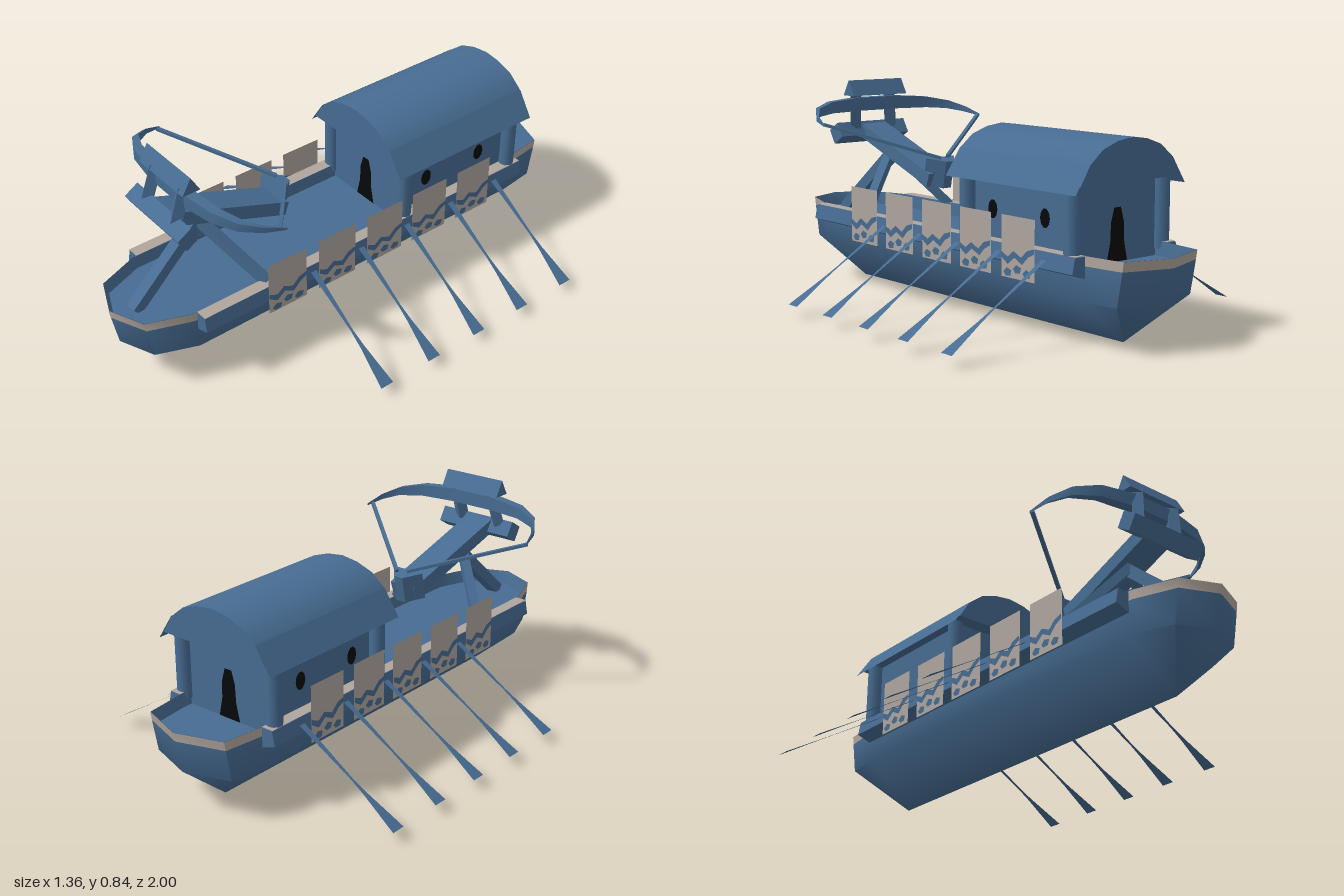
import * as THREE from 'three';
import { toCreasedNormals } from 'three/addons/utils/BufferGeometryUtils.js';

const flat = (name, color, side = THREE.FrontSide) => {
  const m = new THREE.MeshStandardMaterial({ color, side });
  m.name = name;
  return m;
};

// Skin between closed rings of [x, y, z] points
function loft(rings, crease) {
  const pos = [];
  for (let r = 0; r < rings.length - 1; r++) {
    const A = rings[r], B = rings[r + 1], n = A.length;
    for (let i = 0; i < n; i++) {
      const j = (i + 1) % n;
      pos.push(...A[i], ...A[j], ...B[i], ...A[j], ...B[j], ...B[i]);
    }
  }
  const g = new THREE.BufferGeometry();
  g.setAttribute('position', new THREE.Float32BufferAttribute(pos, 3));
  return toCreasedNormals(g, crease);
}

const polygon = (pts) => new THREE.Shape(pts.map(([x, y]) => new THREE.Vector2(x, y)));

// Prism with an x-y profile running from z0 to z1
function prism(pts, z0, z1) {
  return new THREE.ExtrudeGeometry(polygon(pts), { depth: z1 - z0, bevelEnabled: false }).translate(0, 0, z0);
}

export function createModel() {
  const blue = flat('blue wood', 0x476c92, THREE.DoubleSide);
  const trim = flat('pale trim', 0xb0a59d);
  const pale = flat('shield grey', 0xaea59f, THREE.DoubleSide);
  const black = flat('dark opening', 0x07080a);
  const model = new THREE.Group();
  model.name = 'warship';

  const add = (parent, name, geo, mat, x = 0, y = 0, z = 0) => {
    const m = new THREE.Mesh(geo, mat);
    m.name = name;
    m.position.set(x, y, z);
    parent.add(m);
    return m;
  };
  const beam = (parent, name, a, b, w, h) => {
    const p = new THREE.Vector3(...a), q = new THREE.Vector3(...b);
    const m = add(parent, name, new THREE.BoxGeometry(w, h, p.distanceTo(q)), blue);
    m.position.copy(p).lerp(q, 0.5);
    m.lookAt(q);
    return m;
  };

  // Hull: rim outline lofted down to a straight keel
  const half = [[0.18, -0.94], [0.2, -0.78], [0.2, 0.78], [0.14, 0.94]];
  const outline = [[0, -1], ...half, [0, 1], ...half.slice().reverse().map(([x, z]) => [-x, z])];
  const ring = (y, sz, sx = 1) => outline.map(([x, z]) => [x * sx, y, z * sz]);
  const keel = outline.map(([, z]) => [0, 0, THREE.MathUtils.clamp(z, -0.77, 0.77)]);
  add(model, 'hull', loft([ring(0.295, 0.994), ring(0.17, 0.97), keel], 1), blue);
  add(model, 'gunwaleBand', loft([ring(0.33, 1), ring(0.295, 0.994)], 0.9), trim);

  // Sunken deck inside a low bulwark
  const deckY = 0.278, deckZ = 0.98, deckX = 0.97;
  add(model, 'bulwark', loft([ring(deckY, deckZ, deckX), ring(0.33, 0.998, 0.995)], 0.9), blue);
  const deck = new THREE.ShapeGeometry(polygon(outline.map(([x, z]) => [x * deckX, -z * deckZ]))).rotateX(-Math.PI / 2);
  add(model, 'deck', deck, blue, 0, deckY, 0);

  // Cabin walls, openings and corner posts
  const cabin = new THREE.Group();
  cabin.name = 'cabin';
  model.add(cabin);
  add(cabin, 'walls', new THREE.BoxGeometry(0.4, 0.287, 0.55), blue, 0, 0.4215, -0.455);
  const doorShape = polygon([[-0.05, 0], [0.05, 0], [0.034, 0.07], [0.031, 0.14], [0.016, 0.19],
    [-0.016, 0.19], [-0.031, 0.14], [-0.034, 0.07]]);
  for (const s of [1, -1]) {
    const door = add(cabin, 'door', new THREE.ShapeGeometry(doorShape), black, 0, deckY + 0.002, -0.455 + s * 0.278);
    door.rotation.y = s > 0 ? 0 : Math.PI;
    for (const z of [-0.31, -0.585]) {
      const w = add(cabin, 'window', new THREE.CircleGeometry(0.025, 10), black, s * 0.203, 0.434, z);
      w.rotation.y = s * Math.PI / 2;
      w.scale.y = 1.4;
    }
    for (const z of [-0.185, -0.735])
      add(cabin, 'post', new THREE.CylinderGeometry(0.03, 0.03, 0.26, 10), blue, s * 0.218, 0.435, z);
  }

  // Arched roof with thin overhanging eaves
  const arch = [[0.2, 0.637], [0.14, 0.685], [0.07, 0.709], [0, 0.718], [-0.07, 0.709], [-0.14, 0.685], [-0.2, 0.637]];
  const roof = prism([[0.244, 0.567], ...arch, [-0.244, 0.567]], -0.8, -0.12);
  add(cabin, 'roof', toCreasedNormals(roof, 0.5), blue);
  for (const s of [1, -1]) {
    const eave = add(cabin, 'eave', new THREE.PlaneGeometry(0.68, 0.118), blue, s * 0.2335, 0.589, -0.46);
    eave.rotation.set(-0.59, s * Math.PI / 2, 0, 'YXZ');
  }

  // Side rails, shields and oars
  const oarShape = polygon([[0, 0.013], [0.27, 0.005], [0.34, 0.009], [0.505, 0.028],
    [0.505, -0.028], [0.34, -0.009], [0.27, -0.005], [0, -0.013]]);
  const waveShape = polygon([[-0.085, -0.02], [-0.05, -0.035], [-0.02, -0.012], [0.02, -0.03], [0.05, -0.002], [0.085, 0.008],
    [0.085, -0.01], [0.055, -0.025], [0.025, -0.055], [-0.015, -0.035], [-0.05, -0.062], [-0.085, -0.04]]);
  const spotShape = polygon([[-0.022, 0], [-0.005, 0.016], [0.02, 0.008], [0.014, -0.012], [-0.01, -0.014]]);
  const shieldZ = [0.405, 0.175, -0.055, -0.28, -0.51];
  const oarZ = [0.28, 0.053, -0.173, -0.4, -0.635];
  for (const s of [1, -1]) {
    const side = new THREE.Group();
    side.name = s > 0 ? 'leftSide' : 'rightSide';
    model.add(side);
    const profile = [[0.2, 0.328], [0.247, 0.328], [0.258, 0.272], [0.2, 0.252]].map(([x, y]) => [s * x, y]);
    add(side, 'rail', prism(profile, -0.78, 0.76), blue);
    add(side, 'railTop', new THREE.PlaneGeometry(0.048, 1.54).rotateX(-Math.PI / 2), trim, s * 0.224, 0.331, -0.01);
    for (const z of shieldZ) {
      const shield = new THREE.Group();
      shield.name = 'shield';
      shield.position.set(s * 0.26, 0.325, z);
      shield.rotation.y = s * Math.PI / 2;
      side.add(shield);
      add(shield, 'shieldBoard', new THREE.PlaneGeometry(0.172, 0.22), pale);
      for (const d of [0.003, -0.003]) {
        add(shield, 'shieldWave', new THREE.ShapeGeometry(waveShape), blue, 0, 0, d);
        for (const [x, y] of [[-0.05, -0.09], [0.05, -0.085], [0, -0.075]])
          add(shield, 'shieldSpot', new THREE.ShapeGeometry(spotShape), blue, x, y, d);
      }
    }
    for (const z of oarZ) {
      const g = new THREE.ShapeGeometry(oarShape).rotateX(-Math.PI / 2).rotateZ(-0.54);
      if (s < 0) g.rotateY(Math.PI);
      add(side, 'oar', g, blue, s * 0.245, 0.305, z);
    }
  }

  // Bolt thrower: tripod, stock, frame, bow and string
  const thrower = new THREE.Group();
  thrower.name = 'boltThrower';
  thrower.position.x = -0.012;
  model.add(thrower);
  beam(thrower, 'frontLeg', [0, 0.55, 0.58], [0, 0.28, 0.9], 0.045, 0.045);
  for (const s of [1, -1]) beam(thrower, 'rearLeg', [s * 0.01, 0.54, 0.6], [s * 0.215, 0.32, 0.46], 0.035, 0.035);
  beam(thrower, 'stock', [0, 0.63, 0.74], [0, 0.465, 0.25], 0.12, 0.055);
  const butt = new THREE.ExtrudeGeometry(polygon([[-0.07, 0], [0.07, 0], [0.02, 0.065], [-0.02, 0.065]]),
    { depth: 0.11, bevelEnabled: false }).rotateX(-Math.PI / 2);
  add(thrower, 'stockEnd', butt, blue, 0, 0.445, 0.285).rotation.x = -0.2;
  const lower = add(thrower, 'lowerCrossbar', new THREE.BoxGeometry(0.34, 0.064, 0.066), blue, 0, 0.62, 0.745);
  lower.rotation.x = 0.55;
  const upper = new THREE.CylinderGeometry(0.042, 0.042, 0.27, 3, 1, false, Math.PI / 2).rotateZ(Math.PI / 2);
  add(thrower, 'upperCrossbar', toCreasedNormals(upper, 0.5), blue, 0, 0.798, 0.7);
  for (const s of [1, -1]) beam(thrower, 'framePost', [s * 0.09, 0.64, 0.735], [s * 0.085, 0.79, 0.705], 0.042, 0.04);

  // Bow limbs taper from the frame to the tips
  const limb = [[0.395, 0.495, 0.004], [0.375, 0.57, 0.011], [0.33, 0.635, 0.017], [0.24, 0.68, 0.023], [0.1, 0.7, 0.027]];
  const spine = [...limb.map(([x, z, h]) => [-x, z, h]), ...limb.slice().reverse()];
  const bowRings = spine.map(([x, z, h]) => {
    const y = 0.685 + (z - 0.5) * 0.28, d = h * 0.8;
    return [[x, y + h, z - d], [x, y + h, z + d], [x, y - h, z + d], [x, y - h, z - d]];
  });
  add(thrower, 'bow', loft(bowRings, 0.6), blue);
  for (const s of [1, -1]) beam(thrower, 'bowString', [s * 0.39, 0.684, 0.51], [s * 0.02, 0.555, 0.23], 0.014, 0.012);

  return model;
}
